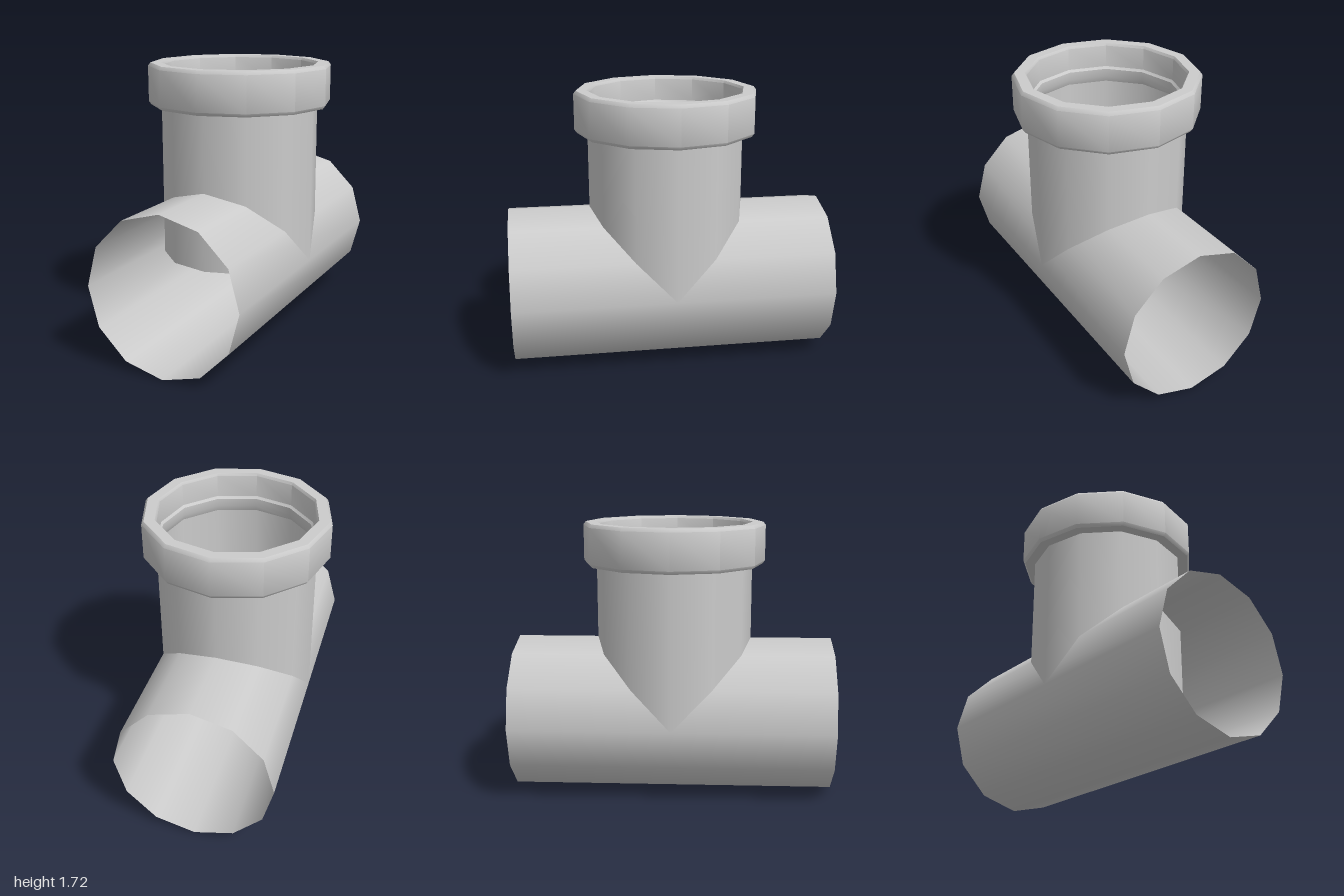
import * as THREE from 'three';
import { toCreasedNormals } from 'three/addons/utils/BufferGeometryUtils.js';

const SIDES = 12;
const RADIUS = 0.49;

export function createModel() {
  const group = new THREE.Group();
  const material = new THREE.MeshStandardMaterial({ color: 0xcccccc, side: THREE.DoubleSide });

  const add = (name, geometry) => {
    const mesh = new THREE.Mesh(geometry, material);
    mesh.name = name;
    group.add(mesh);
    return mesh;
  };
  // thin open-ended pipe along y
  const pipe = (length) => new THREE.CylinderGeometry(RADIUS, RADIUS, length, SIDES, 1, true);

  // straight run, open at the front and back
  add('runPipe', pipe(2).rotateX(Math.PI / 2).translate(0, RADIUS, 0));

  // vertical branch, reaching down to the axis of the run
  const bottom = RADIUS;
  const top = 1.47;
  add('branchPipe', pipe(top - bottom).translate(0, (top + bottom) / 2, 0));

  // bevelled socket collar with a small lip inside
  const profile = [
    [0.485, 1.455], [0.555, 1.455], [0.57, 1.475], [0.57, 1.695], [0.555, 1.715],
    [0.49, 1.715], [0.48, 1.70], [0.48, 1.56], [0.468, 1.545], [0.468, 1.495],
    [0.485, 1.455],
  ].map(([r, y]) => new THREE.Vector2(r, y));
  add('collar', toCreasedNormals(new THREE.LatheGeometry(profile, SIDES), 0.65));

  return group;
}
